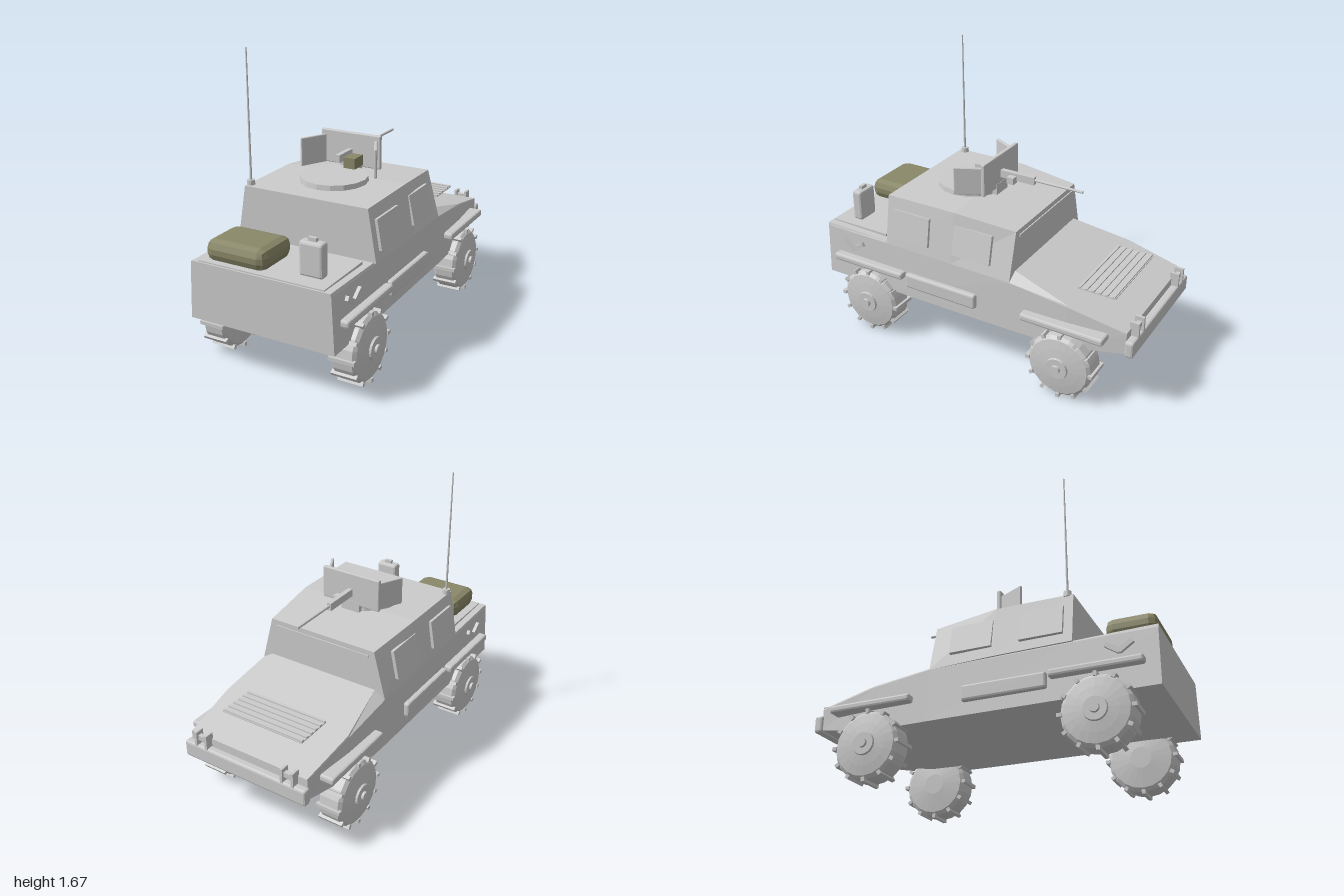
import * as THREE from 'three';
import { RoundedBoxGeometry } from 'three/addons/geometries/RoundedBoxGeometry.js';

const grey = new THREE.MeshStandardMaterial({ color: 0xcccccc, flatShading: true });
const olive = new THREE.MeshStandardMaterial({ color: 0x8a8868, flatShading: true });

// Closed loft; each section is [z, [halfWidth, y], ...] listed from bottom to top, mirrored in x
function loft(sections) {
  const rings = sections.map(([z, ...pts]) => [
    ...pts.map(([x, y]) => [x, y, z]),
    ...pts.slice().reverse().map(([x, y]) => [-x, y, z]),
  ]);
  const n = rings[0].length;
  const pos = [];
  const tri = (a, b, c) => pos.push(...a, ...b, ...c);
  for (let i = 0; i < rings.length - 1; i++) {
    const A = rings[i], B = rings[i + 1];
    for (let k = 0; k < n; k++) {
      const m = (k + 1) % n;
      tri(A[k], B[k], B[m]);
      tri(A[k], B[m], A[m]);
    }
  }
  const F = rings[0], L = rings[rings.length - 1];
  for (let k = 1; k < n - 1; k++) {
    tri(F[0], F[k], F[k + 1]);
    tri(L[0], L[k + 1], L[k]);
  }
  const g = new THREE.BufferGeometry();
  g.setAttribute('position', new THREE.Float32BufferAttribute(pos, 3));
  g.computeVertexNormals();
  return g;
}

export function createModel() {
  const model = new THREE.Group();
  model.name = 'armouredCar';

  const add = (name, geo, x = 0, y = 0, z = 0, mat = grey, parent = model) => {
    const m = new THREE.Mesh(geo, mat);
    m.name = name;
    m.position.set(x, y, z);
    parent.add(m);
    return m;
  };
  // Box given by its limits; bevel > 0 chamfers the edges
  const box = (name, [x0, x1], [y0, y1], [z0, z1], bevel = 0, mat = grey, parent = model) => {
    const s = [x1 - x0, y1 - y0, z1 - z0];
    const geo = bevel ? new RoundedBoxGeometry(...s, 1, bevel) : new THREE.BoxGeometry(...s);
    return add(name, geo, (x0 + x1) / 2, (y0 + y1) / 2, (z0 + z1) / 2, mat, parent);
  };

  // Hull with sloping hood
  add('hull', loft([
    [1, [0.435, 0.3], [0.42, 0.61], [0.415, 0.63]],
    [0.555, [0.435, 0.3], [0.42, 0.61], [0.415, 0.62]],
    [-0.27, [0.43, 0.3], [0.42, 0.6], [0.355, 0.643]],
    [-0.62, [0.42, 0.3], [0.412, 0.555], [0.408, 0.565]],
    [-0.955, [0.385, 0.362], [0.385, 0.485], [0.383, 0.492]],
  ]));

  // Cabin
  add('cabin', loft([
    [0.555, [0.43, 0.615], [0.38, 0.91]],
    [0.11, [0.428, 0.61], [0.38, 0.912]],
    [-0.268, [0.42, 0.6], [0.345, 0.88]],
  ]));
  box('windscreenSlit', [-0.31, 0.31], [0.835, 0.85], [-0.275, -0.26]);
  box('rearDeckPanel', [-0.375, 0.375], [0.615, 0.637], [0.6, 0.99]);

  // Hood grille
  box('grillePlate', [-0.262, 0.262], [0.588, 0.594], [-0.83, -0.61]);
  for (let i = 0; i < 6; i++) {
    const z = -0.825 + i * 0.0405;
    box('grilleSlat', [-0.262, 0.262], [0.587, 0.602], [z, z + 0.015]);
  }

  // Bumper
  box('bumper', [-0.4, 0.4], [0.35, 0.447], [-1, -0.95], 0.012);

  // Wheel: lathed tyre and hub with raised lugs, axle along +x
  const wheelProfile = [[0, -0.085], [0.06, -0.085], [0.12, -0.078], [0.17, -0.072], [0.19, -0.055],
    [0.19, 0.055], [0.172, 0.072], [0.12, 0.08], [0.065, 0.086], [0.062, 0.098],
    [0.026, 0.098], [0.024, 0.112], [0, 0.112]].map(([r, y]) => new THREE.Vector2(r, y));
  const wheelGeo = new THREE.LatheGeometry(wheelProfile, 20);
  const lugGeo = new THREE.BoxGeometry(0.15, 0.025, 0.02);
  const wheel = (name, side, z) => {
    const w = new THREE.Group();
    w.name = name;
    w.position.set(side * 0.403, 0.204, z);
    if (side < 0) w.rotation.y = Math.PI;
    add('tyreAndHub', wheelGeo, 0, 0, 0, grey, w).rotation.z = -Math.PI / 2;
    for (let i = 0; i < 12; i++) {
      const a = (i / 12) * Math.PI * 2;
      const lug = add('treadLug', lugGeo, 0, Math.cos(a) * 0.191, Math.sin(a) * 0.191, grey, w);
      lug.rotation.x = a;
    }
    model.add(w);
  };

  // Parts on both sides
  for (const s of [-1, 1]) {
    const side = s > 0 ? 'left' : 'right';
    const span = (a, b) => (s > 0 ? [a, b] : [-b, -a]);
    wheel(side + 'WheelA', s, 0.68);
    wheel(side + 'WheelB', s, -0.608);
    box(side + 'MudguardA', span(0.38, 0.475), [0.42, 0.462], [0.43, 0.928], 0.012);
    box(side + 'MudguardB', span(0.36, 0.475), [0.42, 0.462], [-0.857, -0.36], 0.012);
    box(side + 'StowageBox', span(0.38, 0.457), [0.373, 0.462], [-0.06, 0.415], 0.012);

    // Tilted window panels
    for (const [z, x, tilt] of [[0.382, 0.413, 0.17], [-0.023, 0.405, 0.21]]) {
      const win = add(side + 'Window', new THREE.BoxGeometry(0.02, 0.172, 0.245), s * x, 0.755, z);
      win.rotation.z = s * tilt;
    }
    // Angled side bracket
    for (const d of [-1, 1]) {
      const bar = add(side + 'SideBracket', new THREE.BoxGeometry(0.025, 0.026, 0.088),
        s * 0.43, 0.532, 0.8 + d * 0.034);
      bar.rotation.x = -d * 0.6;
    }
    // Towing clevis on the bumper
    const cx = s * 0.285;
    for (const d of [-0.034, 0.034]) {
      box('towingPost', [cx + d - 0.008, cx + d + 0.008], [0.44, 0.528], [-0.998, -0.945]);
    }
    box('towingBar', [cx - 0.034, cx + 0.034], [0.475, 0.505], [-0.985, -0.96]);

    // Gun shield wing, splayed outward
    const wing = add(side + 'ShieldWing', new RoundedBoxGeometry(0.017, 0.165, 0.17, 1, 0.005),
      s * 0.2, 1.028, 0.124);
    wing.rotation.y = s * 0.47;
  }

  // Roof hatch and gun shield
  add('roofHatch', new THREE.CylinderGeometry(0.19, 0.195, 0.04, 16), 0, 0.92, 0.235);
  box('shieldMount', [-0.06, 0.06], [0.9, 0.97], [0.025, 0.06]);
  box('gunShield', [-0.19, 0.19], [0.945, 1.14], [0.027, 0.052], 0.006);

  // Gun
  box('gunReceiver', [-0.014, 0.014], [1, 1.045], [-0.19, 0.2]);
  add('gunBarrel', new THREE.CylinderGeometry(0.008, 0.008, 0.31, 8), 0, 1.026, -0.335).rotation.x = Math.PI / 2;
  box('gunSight', [0.01, 0.052], [0.99, 1.03], [-0.078, -0.035]);
  box('ammunitionBox', [0.014, 0.085], [0.96, 1.022], [0.06, 0.155], 0, olive);

  // Stowage on the deck
  box('bedroll', [-0.345, 0.02], [0.632, 0.753], [0.7, 0.98], 0.045, olive);
  box('fuelCan', [0.172, 0.308], [0.632, 0.82], [0.83, 0.895], 0.014);
  box('fuelCanCap', [0.217, 0.263], [0.815, 0.84], [0.852, 0.873]);

  // Antenna
  add('antennaBase', new THREE.CylinderGeometry(0.022, 0.025, 0.035, 10), -0.365, 0.92, 0.517);
  add('antennaRod', new THREE.CylinderGeometry(0.004, 0.007, 0.735, 8), -0.365, 1.298, 0.517);

  return model;
}
